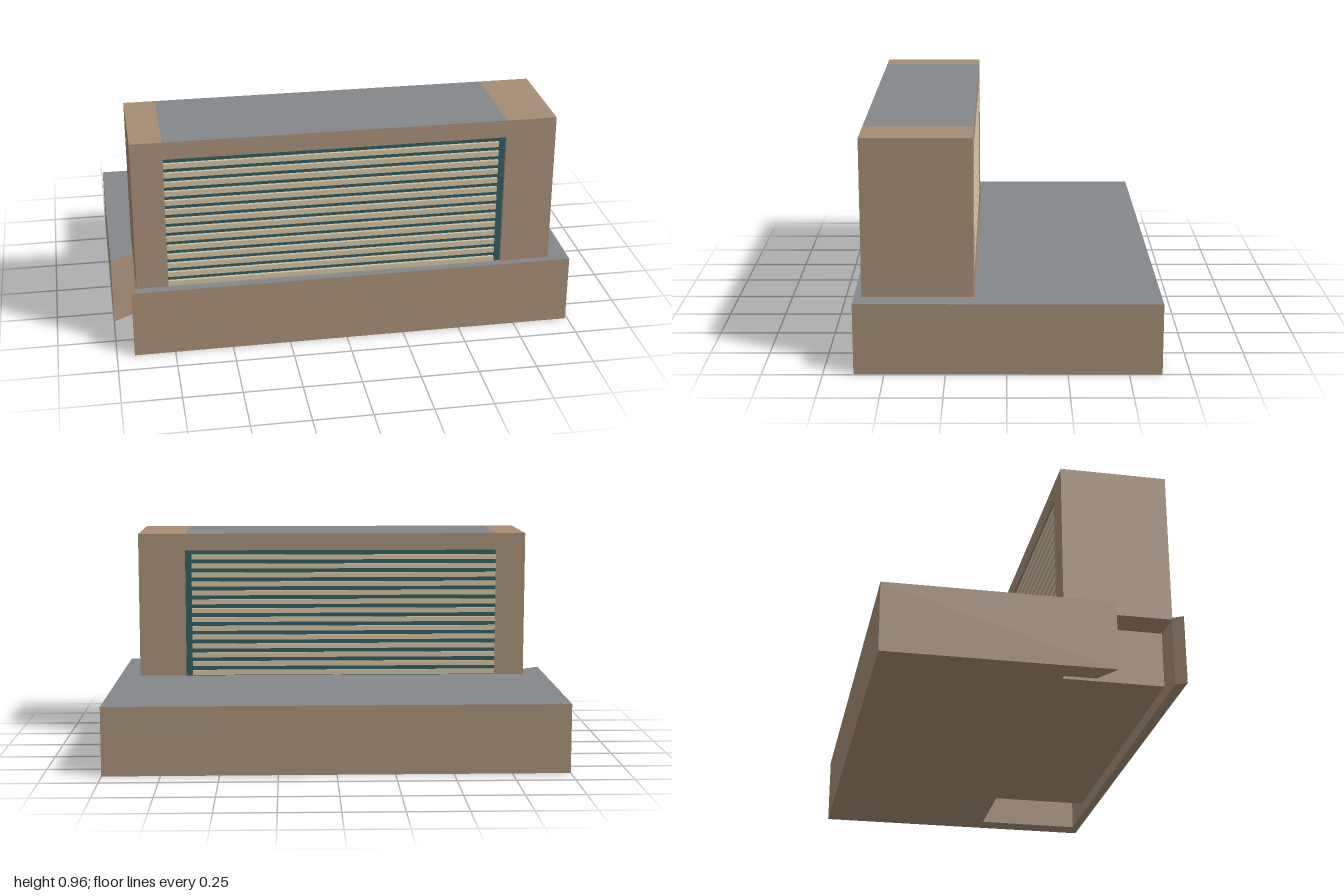
import * as THREE from 'three';

const mat = (name, color) => {
  const m = new THREE.MeshStandardMaterial({ color });
  m.name = name;
  return m;
};

export function createModel() {
  const model = new THREE.Group();
  model.name = 'louvredBuilding';
  const brown = mat('brown wall', 0xa58d75);
  const grey = mat('grey roof', 0x84888b);
  const beige = mat('beige slat', 0xcfbf9f);
  const teal = mat('teal glass', 0x2f5b61);

  // Box given by its minimum and maximum corners
  const box = (name, [x0, y0, z0], [x1, y1, z1], material, parent = model) => {
    const mesh = new THREE.Mesh(new THREE.BoxGeometry(x1 - x0, y1 - y0, z1 - z0), material);
    mesh.position.set((x0 + x1) / 2, (y0 + y1) / 2, (z0 + z1) / 2);
    mesh.name = name;
    parent.add(mesh);
  };

  // Podium outline (x, z): a slab with a slot that opens at one front corner
  const outline = [
    [-1, -0.625], [1, -0.635], [0.99, 0.625], [-0.925, 0.635], [-0.9, 0.59],
    [0.9, 0.59], [0.9, 0.13], [-0.9, 0.13], [-0.9, 0.265], [-1, 0.33],
  ];
  const shape = new THREE.Shape(outline.map(([x, z]) => new THREE.Vector2(x, -z)));
  const layer = (name, y, depth, material) => {
    const geo = new THREE.ExtrudeGeometry(shape, { depth, bevelEnabled: false });
    geo.rotateX(-Math.PI / 2);
    const mesh = new THREE.Mesh(geo, material);
    mesh.position.y = y;
    mesh.name = name;
    model.add(mesh);
  };
  layer('podium', 0, 0.297, brown);
  layer('podiumRoof', 0.297, 0.003, [grey, brown]);

  // Upper block: two end walls, a lintel with a grey roof, and a sunken core
  const tower = new THREE.Group();
  tower.name = 'upperBlock';
  model.add(tower);
  const xL = -0.765, xR = 0.685, z0 = 0.135, z1 = 0.593, top = 0.965, open = 0.888;
  box('endWall', [-0.9, 0.292, z0], [xL, top, z1], brown, tower);
  box('endWall', [xR, 0.292, z0], [0.9, top, z1], brown, tower);
  box('lintel', [xL, open, z0], [xR, top, z1], [brown, brown, grey, brown, brown, brown], tower);
  box('core', [xL, 0.05, z0 + 0.003], [xR, 0.295, z1 - 0.006], brown, tower);

  // Glazing set back from both faces, with louvre slats running through
  box('glazing', [xL, 0.295, z0 + 0.015], [xR, open, z1 - 0.015], teal, tower);
  const pitch = 0.0418;
  for (let i = 0; i < 14; i++) {
    const y = 0.312 + i * pitch;
    box('slat', [xL, y - 0.011, z0 + 0.002], [0.655, y + 0.011, z1 - 0.002], beige, tower);
  }
  return model;
}
